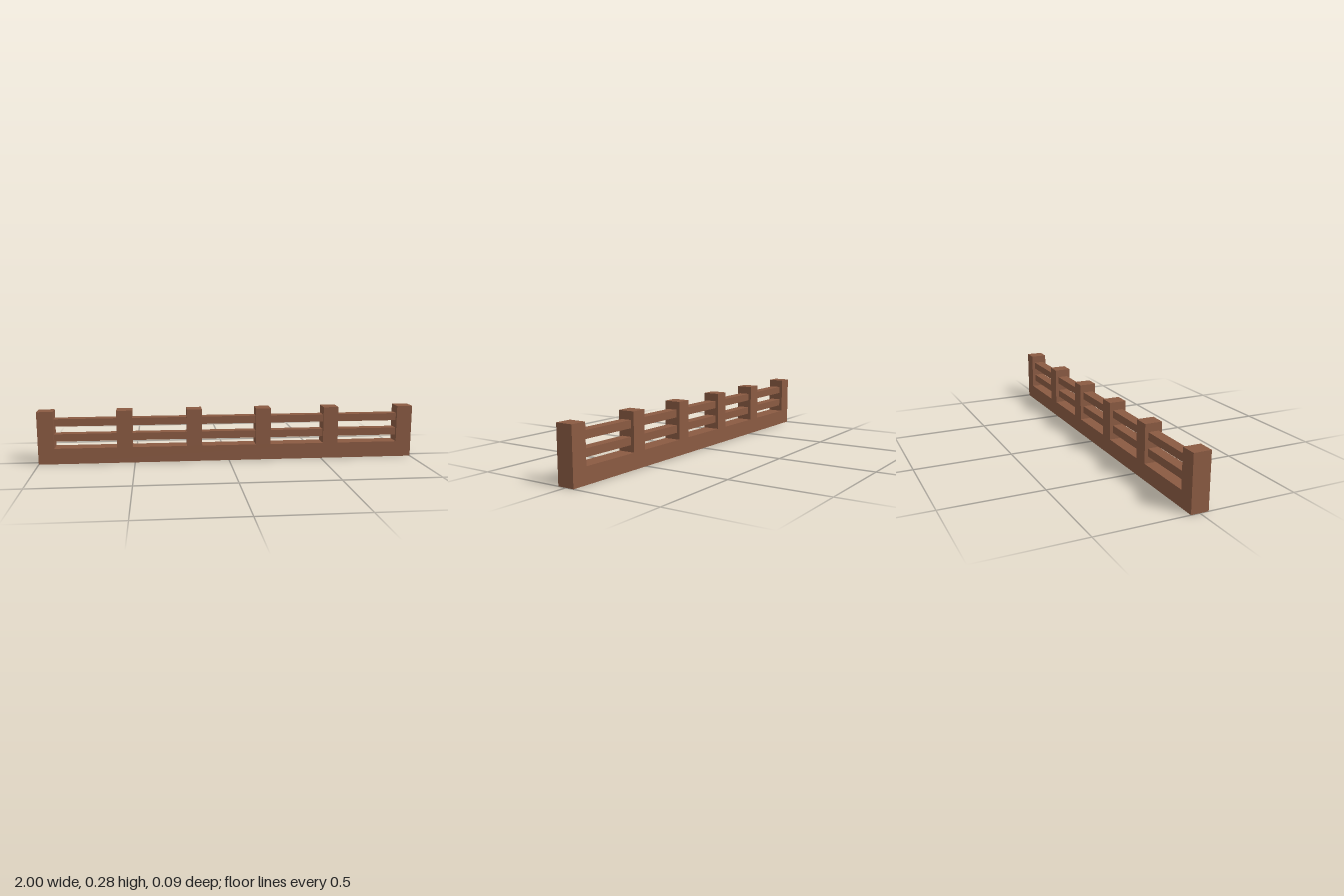
import * as THREE from 'three';

const DEPTH = 0.088, HEIGHT = 0.278, BASE = 0.083;
// Left and right edges of each post
const POSTS = [[-1, -0.917], [-0.592, -0.511], [-0.224, -0.144],
  [0.144, 0.224], [0.511, 0.592], [0.917, 1]];

export function createModel() {
  const group = new THREE.Group();
  const wood = new THREE.MeshStandardMaterial({ color: 0x8a5a42, side: THREE.DoubleSide });
  wood.name = 'brown wood';

  // Base and posts: one comb-shaped outline, extruded through the depth
  const outline = new THREE.Shape();
  outline.moveTo(-1, 0).lineTo(1, 0);
  for (const [left, right] of [...POSTS].reverse()) {
    if (right < 1) outline.lineTo(right, BASE);
    outline.lineTo(right, HEIGHT).lineTo(left, HEIGHT);
    if (left > -1) outline.lineTo(left, BASE);
  }
  outline.closePath();
  const solid = new THREE.ExtrudeGeometry(outline, { depth: DEPTH, bevelEnabled: false });
  solid.translate(0, 0, -DEPTH / 2);

  // The shell is open underneath: drop the triangles lying on the ground
  const pos = solid.attributes.position;
  const kept = [];
  for (let i = 0; i < pos.count; i += 3) {
    const onGround = [0, 1, 2].every(k => Math.abs(pos.getY(i + k)) < 1e-6);
    if (!onGround) kept.push(i, i + 1, i + 2);
  }
  solid.clearGroups();
  solid.setIndex(kept);
  const frame = new THREE.Mesh(solid, wood);
  frame.name = 'baseAndPosts';
  group.add(frame);

  // Two rails in every gap between neighbouring posts
  for (let i = 0; i < POSTS.length - 1; i++) {
    const from = POSTS[i][1], to = POSTS[i + 1][0];
    for (const [name, y] of [['lowerRail', 0.137], ['upperRail', 0.217]]) {
      const rail = new THREE.Mesh(new THREE.BoxGeometry(to - from, 0.039, 0.054), wood);
      rail.position.set((from + to) / 2, y, 0);
      rail.name = name + (i + 1);
      group.add(rail);
    }
  }
  return group;
}
